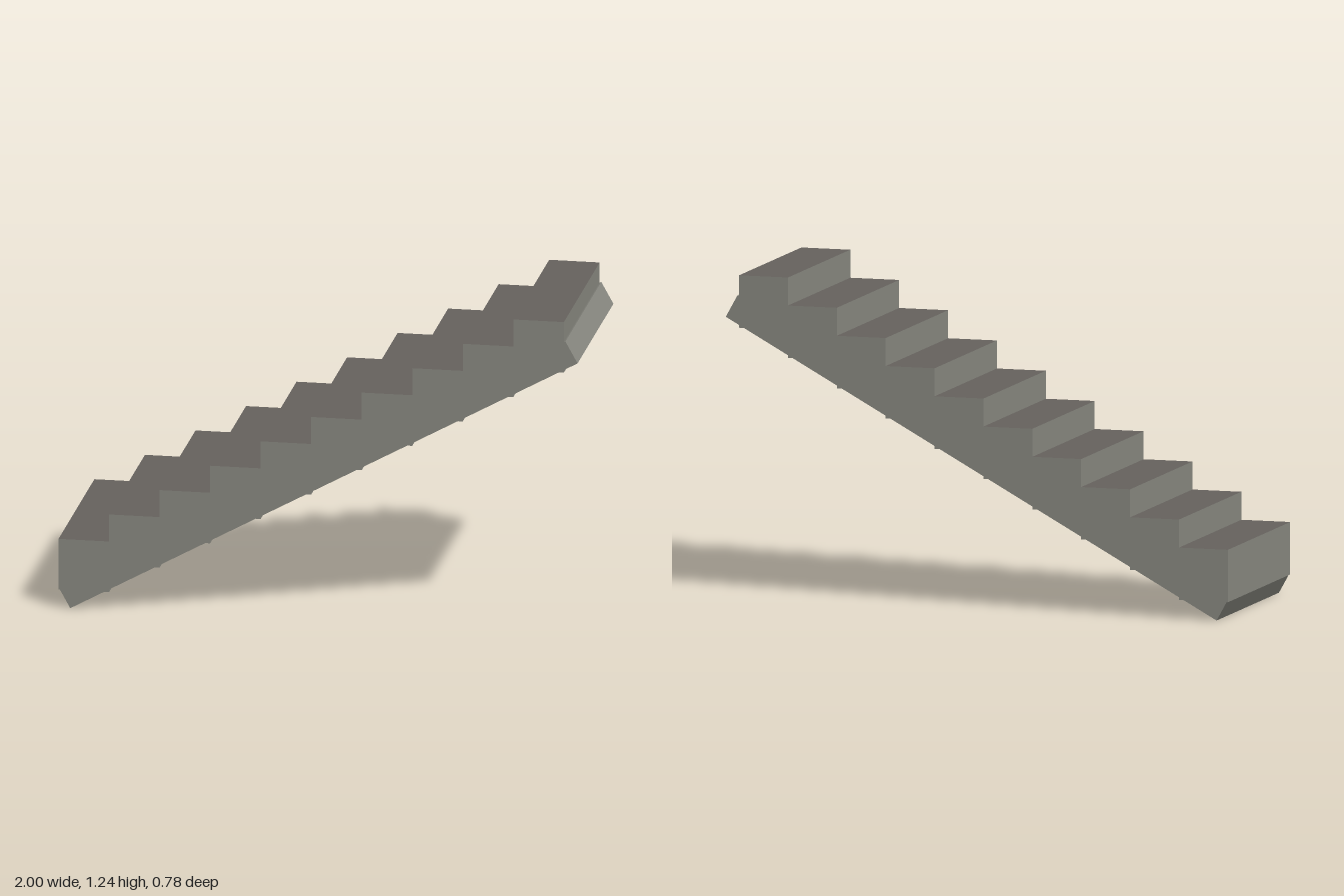
import * as THREE from 'three';

const STEPS = 10, RUN = 0.1947, RISE = 0.1074, HALF = 0.388;
const FIRST_TOP = 0.273, STEP_BOTTOM = 0.072;
const SLAB_X = -0.955, SLOPE = RISE / RUN;

export function createModel() {
  const stone = new THREE.MeshStandardMaterial({ color: 0x8a8a82 });
  stone.name = 'stone grey';
  const treadMat = new THREE.MeshStandardMaterial({ color: 0x66625e });
  treadMat.name = 'worn brown grey';
  const under = new THREE.MeshStandardMaterial({ color: 0x6e6e6b });
  under.name = 'underside grey';

  // Side profile, counter-clockwise; each point names the part of the edge that follows it
  const profile = [];
  const add = (x, y, part) => profile.push({ x, y, part });
  const stepX = (i) => -1 + RUN * i;
  const slabY = (x) => (x - SLAB_X) * SLOPE;

  // Sloping underside with the lower corner of each step poking through
  add(SLAB_X, 0, 'underside');
  for (let i = 0; i < STEPS; i++) {
    const x = stepX(i + 1), y = STEP_BOTTOM + RISE * i;
    add(SLAB_X + y / SLOPE, y, 'risers');
    add(x, y, 'risers');
    add(x, slabY(x), 'underside');
  }
  // Square-cut upper end of the slab
  add(1, slabY(1), 'risers');
  add(0.953, 1.163, 'risers');
  add(stepX(STEPS), 1.16, 'risers');
  // Treads and risers, from the top step down
  for (let i = STEPS - 1; i >= 0; i--) {
    const y = FIRST_TOP + RISE * i;
    add(stepX(i + 1), y, 'treads');
    add(stepX(i), y, 'risers');
  }
  // Square-cut lower end of the slab
  add(-1, STEP_BOTTOM, 'risers');
  add(-0.995, STEP_BOTTOM, 'risers');

  // One quad across the full width for every profile edge of a part
  const strips = (part) => {
    const pos = [], index = [];
    profile.forEach((a, i) => {
      if (a.part !== part) return;
      const b = profile[(i + 1) % profile.length];
      const n = pos.length / 3;
      pos.push(a.x, a.y, HALF, a.x, a.y, -HALF, b.x, b.y, -HALF, b.x, b.y, HALF);
      index.push(n, n + 1, n + 2, n, n + 2, n + 3);
    });
    const g = new THREE.BufferGeometry();
    g.setAttribute('position', new THREE.Float32BufferAttribute(pos, 3));
    g.setIndex(index);
    g.computeVertexNormals();
    return g;
  };

  const group = new THREE.Group();
  group.name = 'staircase';
  const place = (name, geometry, material) => {
    const mesh = new THREE.Mesh(geometry, material);
    mesh.name = name;
    group.add(mesh);
    return mesh;
  };
  place('treads', strips('treads'), treadMat);
  place('risers', strips('risers'), stone);
  place('underside', strips('underside'), under);

  // Flat stepped sides
  const shape = new THREE.Shape(profile.map((p) => new THREE.Vector2(p.x, p.y)));
  place('frontSide', new THREE.ShapeGeometry(shape), stone).position.z = HALF;
  const mirrored = new THREE.Shape(profile.map((p) => new THREE.Vector2(-p.x, p.y)).reverse());
  const back = place('backSide', new THREE.ShapeGeometry(mirrored), stone);
  back.position.z = -HALF;
  back.rotation.y = Math.PI;

  return group;
}
